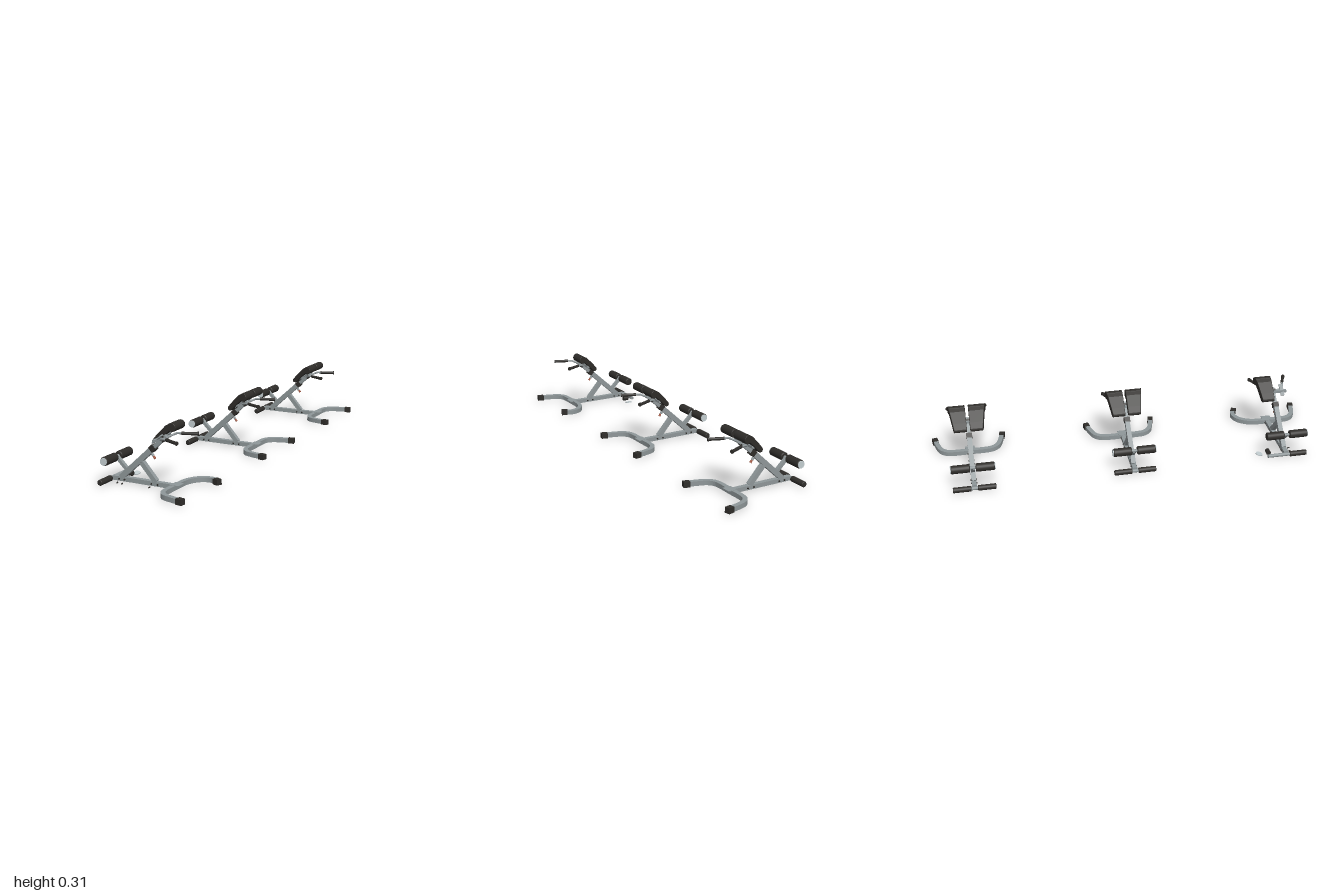
import * as THREE from 'three';

const steel = new THREE.MeshStandardMaterial({ color: 0x8f9799 });
const light = new THREE.MeshStandardMaterial({ color: 0xc4ced1 });
const black = new THREE.MeshStandardMaterial({ color: 0x2f2d2a });
const red = new THREE.MeshStandardMaterial({ color: 0x9a4a30 });
const V = (x, y, z = 0) => new THREE.Vector3(x, y, z);

function add(group, name, geometry, material) {
  const mesh = new THREE.Mesh(geometry, material);
  mesh.name = name;
  group.add(mesh);
  return mesh;
}

// Box-section bar between two points: w across, d sideways
function bar(group, name, a, b, w, d, material = steel) {
  const dir = b.clone().sub(a);
  const len = dir.length();
  const mesh = add(group, name, new THREE.BoxGeometry(d, w, len), material);
  mesh.position.copy(a).add(b).multiplyScalar(0.5);
  mesh.lookAt(b);
  return mesh;
}

// Round rod between two points
function rod(group, name, a, b, r, material = steel, r2 = r) {
  const dir = b.clone().sub(a);
  const mesh = add(group, name, new THREE.CylinderGeometry(r2, r, dir.length(), 20), material);
  mesh.position.copy(a).add(b).multiplyScalar(0.5);
  mesh.quaternion.setFromUnitVectors(V(0, 1, 0), dir.normalize());
  return mesh;
}

// Foam roller with rounded rims, along z from z0 to z1
function roller(group, name, x, y, z0, z1, r) {
  const h = Math.abs(z1 - z0), e = r * 0.25;
  const profile = [[0, 0], [r - e, 0], [r - e * 0.3, e * 0.3], [r, e], [r, h - e],
    [r - e * 0.3, h - e * 0.3], [r - e, h], [0, h]].map(p => new THREE.Vector2(...p));
  const mesh = add(group, name, new THREE.LatheGeometry(profile, 24), black);
  mesh.rotation.x = Math.PI / 2;
  mesh.position.set(x, y, Math.min(z0, z1));
}

// Bent square tube lying on the floor, ending in a rubber foot
function leg(group, side, pts) {
  const path = new THREE.CatmullRomCurve3(pts.map(([x, z]) => V(x, 0.017, z * side)));
  const h = 0.0115;
  const section = new THREE.Shape([[-h, -h], [h, -h], [h, h], [-h, h]].map(p => new THREE.Vector2(...p)));
  add(group, 'floorLeg', new THREE.ExtrudeGeometry(section,
    { steps: 24, extrudePath: path, bevelEnabled: false }), steel);
  const end = path.getPoint(1), t = path.getTangent(1);
  bar(group, 'rubberFoot', end.clone().addScaledVector(t, -0.026),
    end.clone().addScaledVector(t, 0.006), 0.027, 0.028, black);
}

// Hip pad: slab with a rolled upper end, widening towards the top
function pad(group, side) {
  const s = new THREE.Shape();
  s.moveTo(-0.008, 0.209);
  s.lineTo(0.033, 0.249);
  s.lineTo(0.058, 0.270);
  s.absarc(0.072, 0.286, 0.018, -Math.PI * 0.7, Math.PI * 0.72, false);
  s.lineTo(0.043, 0.290);
  s.lineTo(0, 0.247);
  s.lineTo(-0.021, 0.223);
  s.quadraticCurveTo(-0.026, 0.212, -0.018, 0.209);
  const D = 0.08, bevel = 0.003;
  const geo = new THREE.ExtrudeGeometry(s, { depth: D - 2 * bevel, bevelSize: bevel,
    bevelThickness: bevel, bevelSegments: 3, curveSegments: 16 });
  const p = geo.attributes.position;
  for (let i = 0; i < p.count; i++) {
    const f = (p.getZ(i) + bevel) / D;
    const outer = THREE.MathUtils.lerp(0.072, 0.097, THREE.MathUtils.clamp((p.getX(i) + 0.025) / 0.115, 0, 1));
    p.setZ(i, 0.008 + f * (outer - 0.008));
  }
  geo.computeVertexNormals();
  const mesh = add(group, 'hipPad', geo, black);
  if (side < 0) {
    // Mirror by reflecting the vertices and reversing each triangle
    for (let i = 0; i < p.count; i++) p.setZ(i, -p.getZ(i));
    for (let i = 0; i < p.count; i += 3) {
      const a = V().fromBufferAttribute(p, i), c = V().fromBufferAttribute(p, i + 2);
      p.setXYZ(i, c.x, c.y, c.z);
      p.setXYZ(i + 2, a.x, a.y, a.z);
    }
    geo.computeVertexNormals();
  }
  return mesh;
}

function bench(damaged) {
  const g = new THREE.Group();
  g.name = damaged ? 'damagedBench' : 'bench';

  // Base, sloping post and struts
  bar(g, 'baseBeam', V(-0.235, 0.017), V(0.095, 0.017), 0.021, 0.024);
  bar(g, 'mainPost', V(-0.192, 0.024), V(-0.013, 0.188), 0.026, 0.024);
  bar(g, 'innerPost', V(-0.02, 0.182), V(0.052, 0.247), 0.019, 0.018);
  bar(g, 'lowerCollar', V(-0.028, 0.174), V(-0.01, 0.191), 0.029, 0.03, black);
  bar(g, 'upperCollar', V(0.031, 0.227), V(0.046, 0.241), 0.023, 0.026, black);
  bar(g, 'rearStrut', V(-0.084, 0.114), V(-0.006, 0.026), 0.023, 0.022);
  bar(g, 'rollerStrut', V(-0.218, 0.119), V(-0.152, 0.055), 0.016, 0.018);

  // Spring pin on the underside of the post
  rod(g, 'pinBarrel', V(-0.034, 0.166), V(-0.019, 0.145), 0.006);
  rod(g, 'pinKnob', V(-0.019, 0.145), V(-0.01, 0.134), 0.004, red, 0.006);

  // Pad carrier under the pads
  bar(g, 'padCrossbar', V(0.027, 0.236, -0.07), V(0.027, 0.236, 0.07), 0.012, 0.014);
  rod(g, 'handleCrossbar', V(0.043, 0.236, -0.04), V(0.043, 0.236, 0.04), 0.006);

  for (const side of [-1, 1]) {
    const broken = damaged && side < 0;
    bar(g, 'padBracket', V(0.008, 0.221, side * 0.046), V(0.056, 0.262, side * 0.046), 0.006, 0.02);
    if (!(damaged && side > 0)) pad(g, side);

    // Flared handle with a grip and end cap
    const path = new THREE.CatmullRomCurve3([V(0.043, 0.236, side * 0.034), V(0.055, 0.242, side * 0.053),
      V(0.068, 0.248, side * 0.061), V(0.092, 0.249, side * 0.067), V(0.16, 0.248, side * 0.096)]);
    add(g, 'handle', new THREE.TubeGeometry(path, 24, 0.005, 12), steel);
    rod(g, 'handleGrip', V(0.09, 0.249, side * 0.066), V(0.158, 0.248, side * 0.095), 0.0075, black);
    rod(g, 'gripEnd', V(0.157, 0.248, side * 0.0945), V(0.162, 0.248, side * 0.0965), 0.0095, black);

    // Ankle roller and foot bar sleeve
    roller(g, 'ankleRoller', -0.218, 0.119, side * 0.014, side * 0.108, 0.021);
    if (!broken) {
      rod(g, 'rollerCap', V(-0.218, 0.119, side * 0.106), V(-0.218, 0.119, side * 0.111), 0.018, light);
      roller(g, 'footBarSleeve', -0.244, 0.015, side * 0.016, side * 0.107, 0.014);
    }

    // Bolts along the base and post foot
    for (const x of [-0.2, -0.17, -0.025, 0.008, 0.074])
      rod(g, 'bolt', V(x, 0.016, side * 0.011), V(x, 0.016, side * 0.016), 0.004, black);

    // Floor legs, one of them bent inward on the damaged bench
    leg(g, side, broken
      ? [[0.095, 0], [0.098, 0.08], [0.115, 0.125], [0.145, 0.157], [0.19, 0.168], [0.234, 0.149]]
      : [[0.095, 0], [0.095, 0.085], [0.101, 0.118], [0.125, 0.147], [0.17, 0.164], [0.232, 0.178]]);
  }
  bar(g, 'legBracket', V(0.08, 0.0285, 0), V(0.125, 0.0285, 0), 0.003, 0.05);
  rod(g, 'rollerAxle', V(-0.218, 0.119, -0.106), V(-0.218, 0.119, 0.106), 0.007);
  rod(g, 'footBar', V(-0.244, 0.015, -0.1), V(-0.244, 0.015, 0.1), 0.009);

  // Parts fallen to the floor
  if (damaged) {
    rod(g, 'looseCap', V(-0.2, 0.003, -0.134), V(-0.2, 0.008, -0.133), 0.018, light);
    rod(g, 'loosePlug', V(-0.218, 0.016, -0.088), V(-0.19, 0.016, -0.088), 0.012, black);
    for (const [x, z] of [[-0.17, 0.03], [-0.2, 0.025], [-0.03, 0.02]])
      rod(g, 'looseBolt', V(x, 0.003, z), V(x + 0.003, 0.003, z + 0.012), 0.003, black);
  }
  return g;
}

export function createModel() {
  const model = new THREE.Group();
  model.name = 'benchRow';
  for (const [z, damaged] of [[-0.807, false], [0.003, false], [0.805, true]]) {
    const b = bench(damaged);
    b.position.z = z;
    model.add(b);
  }
  return model;
}
